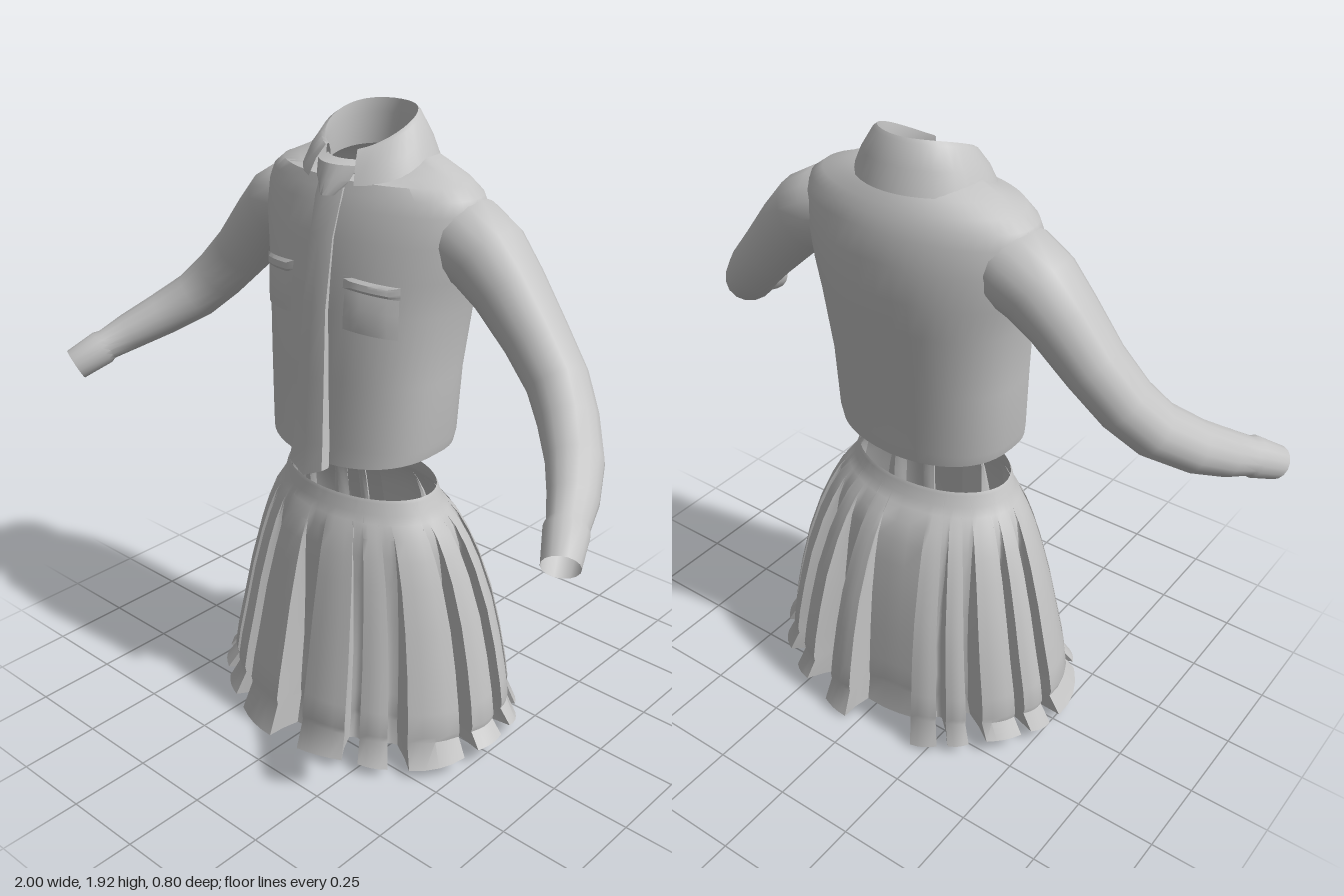
import * as THREE from 'three';
import { toCreasedNormals } from 'three/addons/utils/BufferGeometryUtils.js';

const cloth = new THREE.MeshStandardMaterial({ color: 0xc4c4c4, side: THREE.DoubleSide });
cloth.name = 'grey cloth';
const V = (x, y, z) => new THREE.Vector3(x, y, z);

// skin a surface over rows of points (rows run bottom to top, points anticlockwise)
function loft(name, rows, closed = true, crease = 0.6) {
  const n = rows[0].length, pos = [], idx = [];
  rows.forEach(r => r.forEach(p => pos.push(p.x, p.y, p.z)));
  for (let i = 0; i < rows.length - 1; i++) {
    for (let j = 0; j < (closed ? n : n - 1); j++) {
      const k = (j + 1) % n, a = i * n + j, b = i * n + k;
      idx.push(a, b, b + n, a, b + n, a + n);
    }
  }
  const g = new THREE.BufferGeometry();
  g.setAttribute('position', new THREE.Float32BufferAttribute(pos, 3));
  g.setIndex(idx);
  const mesh = new THREE.Mesh(toCreasedNormals(g, crease), cloth);
  mesh.name = name;
  return mesh;
}

// linear lookup in a table sorted by its first column
function look(table, y) {
  let i = 0;
  while (i < table.length - 2 && y > table[i + 1][0]) i++;
  const a = table[i], b = table[i + 1];
  const t = THREE.MathUtils.clamp((y - a[0]) / (b[0] - a[0]), 0, 1);
  return a.map((v, k) => v + (b[k] - v) * t);
}

// shirt body: height, half width, back z, front z, squareness
const BODY = [
  [0.94, 0.285, -0.19, 0.235, 2.4], [1.0, 0.292, -0.195, 0.23, 2.4], [1.2, 0.302, -0.205, 0.222, 2.4],
  [1.4, 0.322, -0.235, 0.212, 2.3], [1.5, 0.345, -0.245, 0.2, 2.2], [1.6, 0.37, -0.243, 0.185, 2.1],
  [1.68, 0.375, -0.23, 0.165, 2], [1.72, 0.36, -0.215, 0.15, 2], [1.75, 0.32, -0.2, 0.138, 2],
  [1.78, 0.25, -0.18, 0.125, 2], [1.805, 0.19, -0.16, 0.11, 2], [1.815, 0.13, -0.145, 0.1, 2],
];

function bodyPoint(a, y) {
  const [, w, zb, zf, n] = look(BODY, y);
  const s = Math.sin(a), c = Math.cos(a), e = 2 / n;
  return V(w * Math.sign(s) * Math.abs(s) ** e, y, (zb + zf) / 2 + (zf - zb) / 2 * Math.sign(c) * Math.abs(c) ** e);
}

function bodyFront(x, y) {
  const [, w, zb, zf, n] = look(BODY, y);
  return (zb + zf) / 2 + (zf - zb) / 2 * Math.max(0, 1 - Math.abs(x / w) ** n) ** (1 / n);
}

function makeBody() {
  const N = 48, rows = BODY.map(([y], i) => Array.from({ length: N }, (_, j) => {
    const a = j / N * Math.PI * 2, p = bodyPoint(a, y);
    if (i === 0) p.y += 0.018 * Math.abs(Math.sin(a)) - 0.015 * Math.max(0, Math.cos(a)) + 0.01;
    // the neckline dips at the front
    if (y > 1.75) p.y -= 0.06 * Math.max(0, Math.cos(a)) * (y - 1.75) / 0.065;
    return p;
  }));
  return loft('shirtBody', rows);
}

// a patch of cloth lying on the chest, lower towards the arm by a slope
function chestPatch(name, x0, x1, y0, y1, lift) {
  const rows = [];
  for (let i = 0; i <= 4; i++) {
    const row = [];
    for (let j = 0; j <= 6; j++) {
      const edge = i === 0 || i === 4 || j === 0 || j === 6;
      const x = x0 + (x1 - x0) * j / 6;
      const y = y0 + (y1 - y0) * i / 4 - 0.1 * (Math.abs(x) - 0.1);
      row.push(V(x, y, bodyFront(x, y) + (edge ? lift * 0.6 : lift)));
    }
    rows.push(row);
  }
  return loft(name, rows, false);
}

// button band running down the front, pointed at the hem
function makePlacket() {
  const rows = [[0.9, 0.065, 0.28], [1.0, 0.058, 0.268], [1.2, 0.05, 0.25], [1.4, 0.043, 0.233],
    [1.6, 0.042, 0.2], [1.7, 0.047, 0.172], [1.76, 0.045, 0.15]].map(([y, w, z], i) => {
    const up = i === 0 ? 0.03 : 0, back = z - 0.04;
    return [V(-w, y + up, back), V(-w, y + up, z - 0.01), V(0, y, z), V(w, y + up, z - 0.01), V(w, y + up, back)];
  });
  return loft('placket', rows, false);
}

// folded collar, open at the front
function makeCollar() {
  const N = 32, gap = 0.42;
  // x radius, z radius, height at back, height at front
  const rows = [[0.205, 0.18, 1.785, 1.74], [0.178, 0.16, 1.85, 1.785], [0.142, 0.133, 1.91, 1.82],
    [0.13, 0.125, 1.92, 1.822], [0.126, 0.12, 1.88, 1.8], [0.13, 0.125, 1.79, 1.74]].map(([rx, rz, yb, yf]) =>
    Array.from({ length: N + 1 }, (_, j) => {
      const a = gap + (Math.PI * 2 - gap * 2) * j / N, f = ((1 + Math.cos(a)) / 2) ** 1.6;
      return V(rx * Math.sin(a), yb + (yf - yb) * f, -0.015 + rz * Math.cos(a));
    }));
  return loft('collar', rows, false);
}

// collar stand closing the neck under the collar points
function makeCollarStand() {
  const rows = [[1.71, 0.03, 0.185], [1.75, 0.06, 0.172], [1.79, 0.075, 0.15], [1.8, 0.07, 0.115]].map(([y, w, z]) =>
    Array.from({ length: 7 }, (_, j) => {
      const t = j / 3 - 1;
      return V(w * t, y, z - 0.03 * t * t);
    }));
  return loft('collarStand', rows, false);
}

// sleeve path: x, y, z, in-plane radius, depth radius
const ARM = [
  [0.22, 1.64, -0.045, 0.09, 0.1], [0.32, 1.605, -0.045, 0.12, 0.125], [0.395, 1.565, -0.045, 0.116, 0.118],
  [0.47, 1.495, -0.042, 0.102, 0.106], [0.57, 1.385, -0.035, 0.089, 0.094], [0.66, 1.29, -0.015, 0.083, 0.088],
  [0.73, 1.215, 0.03, 0.078, 0.085], [0.81, 1.15, 0.11, 0.07, 0.08], [0.87, 1.1, 0.2, 0.06, 0.07],
  [0.905, 1.065, 0.27, 0.05, 0.058], [0.912, 1.057, 0.285, 0.056, 0.062], [0.954, 1.01, 0.364, 0.052, 0.05],
];

function makeSleeve(name, side) {
  const N = 16, c = ARM.map(p => V(p[0], p[1], p[2]));
  const rows = ARM.map((p, i) => {
    const t = c[Math.min(i + 1, c.length - 1)].clone().sub(c[Math.max(i - 1, 0)]).normalize();
    const b = V(0, 0, 1).addScaledVector(t, -t.z).normalize(), n = b.clone().cross(t);
    return Array.from({ length: N }, (_, j) => {
      const a = j / N * Math.PI * 2;
      const q = c[i].clone().addScaledVector(n, p[3] * Math.cos(a)).addScaledVector(b, p[4] * Math.sin(a));
      q.x *= side;
      return q;
    });
  });
  // mirrored rows run the other way so that faces stay outward
  return loft(name, side < 0 ? rows.reverse() : rows);
}

// skirt: height, half width, back z, front z, pleat depth
const SKIRT = [
  [0.03, 0.53, -0.405, 0.4, 0.29], [0.105, 0.492, -0.378, 0.365, 0.27], [0.125, 0.496, -0.38, 0.368, 0.27],
  [0.2, 0.485, -0.37, 0.355, 0.26], [0.32, 0.46, -0.35, 0.33, 0.24], [0.45, 0.43, -0.32, 0.305, 0.2],
  [0.58, 0.39, -0.275, 0.275, 0.13], [0.66, 0.358, -0.24, 0.255, 0.07], [0.72, 0.328, -0.205, 0.235, 0.025],
  [0.76, 0.298, -0.172, 0.217, 0], [0.785, 0.28, -0.153, 0.205, 0], [0.82, 0.268, -0.145, 0.2, 0], [0.83, 0.262, -0.14, 0.196, 0],
];

// start and end of each pleat in degrees, from the front towards the left
const PLEATS = [[7, 24], [31, 41], [50, 72], [80, 94], [104, 116], [124, 134], [145, 153], [166, 175],
  [203, 212], [217, 224], [232, 246], [252, 262], [270, 298], [303, 313], [319, 328], [336, 353]];

function makeSkirt() {
  const outline = PLEATS.flatMap(([a, b], k) => {
    const next = k + 1 < PLEATS.length ? PLEATS[k + 1][0] : 360 + PLEATS[0][0];
    const mix = (p, q, t) => p + (q - p) * t;
    // angle and fold: 0 in the valley, 1 on the ridge
    return [[a, 0.5], [a - 0.5, 0.97], [mix(a, b, 0.25), 1], [mix(a, b, 0.5), 1.01], [mix(a, b, 0.75), 1], [b + 0.5, 0.97],
      [b, 0.5], [b + 0.5, 0.05], [mix(b, next, 0.35), 0], [mix(b, next, 0.65), 0], [next - 0.5, 0.05]];
  });
  const rows = SKIRT.map(([y, w, zb, zf, depth], i) => outline.map(([deg, f]) => {
    const a = THREE.MathUtils.degToRad(deg), r = 1 - depth * (1 - f);
    const p = V(w * r * Math.sin(a), y, (zb + zf) / 2 + (zf - zb) / 2 * r * Math.cos(a));
    // uneven hem
    if (i === 0) p.y = Math.max(0, y - 0.027 + 0.05 * Math.abs(Math.sin(a)) + 0.012 * Math.sin(a * 5));
    return p;
  }));
  return loft('pleatedSkirt', rows, true, 0.7);
}

export function createModel() {
  const model = new THREE.Group();
  model.name = 'outfit';
  const shirt = new THREE.Group();
  shirt.name = 'shirt';
  shirt.add(makeBody(), makePlacket(), makeCollar(), makeCollarStand());
  for (const [label, s] of [['left', 1], ['right', -1]]) {
    const [x0, x1] = s > 0 ? [0.1, 0.25] : [-0.25, -0.1];
    shirt.add(makeSleeve(label + 'Sleeve', s));
    shirt.add(chestPatch(label + 'Pocket', x0, x1, 1.36, 1.5, 0.012));
    shirt.add(chestPatch(label + 'PocketFlap', x0 - 0.004, x1 + 0.004, 1.475, 1.51, 0.018));
  }
  model.add(shirt, makeSkirt());
  return model;
}
